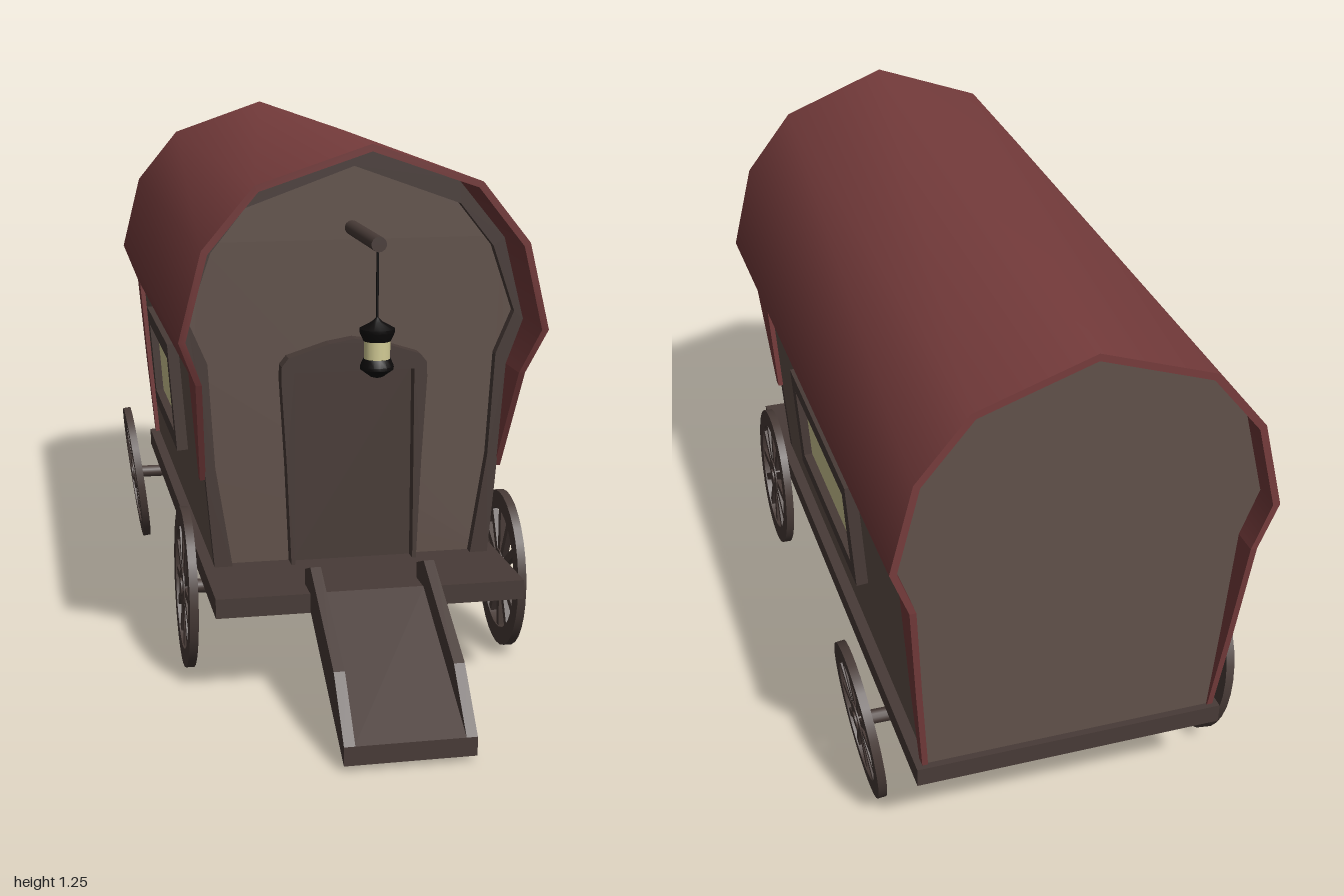
import * as THREE from 'three';
import { toCreasedNormals } from 'three/addons/utils/BufferGeometryUtils.js';

const mat = (color) => new THREE.MeshStandardMaterial({ color });
const RED = mat(0x763c3c), WALL = mat(0x61514a), DARK = mat(0x483b37);
const PANE = mat(0xd2cb95), IRON = mat(0x0c0a0a);

function add(parent, name, geometry, material, x = 0, y = 0, z = 0) {
  const mesh = new THREE.Mesh(geometry, material);
  mesh.name = name;
  mesh.position.set(x, y, z);
  parent.add(mesh);
  return mesh;
}
const box = (x, y, z) => new THREE.BoxGeometry(x, y, z);
const shapeOf = (pts) => new THREE.Shape(pts.map(([x, y]) => new THREE.Vector2(x, y)));
const extrude = (shape, depth, curveSegments = 12) =>
  new THREE.ExtrudeGeometry(shape, { depth, bevelEnabled: false, curveSegments });

// Closed solid through a row of loops with equal point counts
function loft(loops) {
  const tris = [], n = loops[0].length;
  for (let i = 0; i < loops.length - 1; i++) {
    for (let j = 0; j < n; j++) {
      const k = (j + 1) % n, p = loops[i], q = loops[i + 1];
      tris.push([p[j], p[k], q[k]], [p[j], q[k], q[j]]);
    }
  }
  const first = loops[0], last = loops[loops.length - 1];
  for (let j = 1; j < n - 1; j++) {
    tris.push([first[0], first[j + 1], first[j]], [last[0], last[j], last[j + 1]]);
  }
  // turn all faces outwards
  let volume = 0;
  const [a, b, c] = [0, 1, 2].map(() => new THREE.Vector3());
  for (const t of tris) volume += a.set(...t[0]).dot(b.set(...t[1]).cross(c.set(...t[2])));
  if (volume < 0) tris.forEach((t) => t.reverse());
  const geometry = new THREE.BufferGeometry();
  geometry.setAttribute('position', new THREE.Float32BufferAttribute(tris.flat(2), 3));
  return toCreasedNormals(geometry, 0.7);
}

// Half section of the wagon from ridge to floor: x, y, front z, back z
const SECTION = [
  [0, 1.255, 0.595, -1], [0.255, 1.167, 0.572, -1], [0.37, 1.027, 0.56, -1],
  [0.421, 0.826, 0.55, -1], [0.38, 0.72, 0.51, -0.998],
  [0.36, 0.47, 0.395, -0.97], [0.341, 0.26, 0.395, -0.945],
];
const inset = ([x, y], t) => [x * (1 - t), y > 0.82 ? 0.82 + (y - 0.82) * (1 - t) : y];
// Left half mirrored onto the right, running from right floor to left floor
const mirrored = (half) => [...half.slice(1).reverse().map(([x, ...r]) => [-x, ...r]), ...half];

function buildCover(parent) {
  const loop = (p, front, back) => {
    const [x, y] = p, [u, v] = inset(p, 0.038);
    return [[x, y, front], [x, y, back], [u, v, back], [u, v, front]];
  };
  add(parent, 'roofCover', loft(mirrored(SECTION.slice(0, 5)).map((p) => loop(p, p[2], p[3]))), RED);
  for (const s of [1, -1]) {
    const side = SECTION.slice(4).map(([x, ...r]) => [s * x, ...r]);
    add(parent, 'frontCoverFlap', loft(side.slice(0, 2).map((p) => loop(p, p[2], 0.37))), RED);
    add(parent, 'backCoverFlap', loft(side.map((p) => loop(p, -0.92, p[3]))), RED);
  }
}

function buildBody(parent) {
  const outline = mirrored(SECTION.map((p) => inset(p, 0.034)));
  add(parent, 'cabin', extrude(shapeOf(outline), 1.32), WALL, 0, 0, -0.94);
  // dark arch around the front wall
  const inner = mirrored([[0, 1.19], [0.25, 1.1], [0.33, 1.0], [0.383, 0.845],
    [0.34, 0.745], [0.325, 0.5], [0.287, 0.26]]);
  add(parent, 'frontArch', extrude(shapeOf([...outline, ...inner.reverse()]), 0.025), DARK, 0, 0, 0.38);
  add(parent, 'floor', box(0.71, 0.045, 1.575), DARK, 0, 0.236, -0.167);
  // door and its frame
  add(parent, 'door', box(0.284, 0.46, 0.02), DARK, 0, 0.49, 0.378);
  const top = mirrored([[0, 0.795], [0.06, 0.785], [0.155, 0.755], [0.171, 0.735],
    [0.172, 0.7], [0.16, 0.5], [0.15, 0.26]]);
  const frame = shapeOf([...top, [0.141, 0.26], [0.141, 0.72], [-0.141, 0.72], [-0.141, 0.26]]);
  add(parent, 'doorFrame', extrude(frame, 0.045), DARK, 0, 0, 0.375);
}

function buildWindow(parent, s) {
  const g = new THREE.Group();
  g.name = s > 0 ? 'leftWindow' : 'rightWindow';
  g.position.set(s * 0.364, 0.583, -0.25);
  g.rotation.z = -s * 0.076;
  const rect = (w, h) => [[-w, -h], [w, -h], [w, h], [-w, h]];
  const shape = shapeOf(rect(0.275, 0.137));
  shape.holes.push(shapeOf(rect(0.234, 0.094)));
  const frame = add(g, 'windowFrame', extrude(shape, 0.04).translate(0, 0, -0.02), DARK);
  frame.rotation.y = s * Math.PI / 2;
  add(g, 'windowPane', box(0.016, 0.2, 0.48), PANE, -s * 0.008);
  parent.add(g);
}

function buildRamp(parent) {
  const g = new THREE.Group();
  g.name = 'ramp';
  // profiles are drawn as (z, y) and swept along x
  const sweep = (pts, width) =>
    extrude(shapeOf(pts), width).translate(0, 0, -width / 2).rotateY(-Math.PI / 2);
  const stringer = [[1, 0.018], [1, 0.06], [0.89, 0.18], [0.62, 0.32], [0.555, 0.295],
    [0.555, 0.25], [0.62, 0.22]];
  for (const s of [1, -1]) add(g, 'rampSide', sweepUp(sweep(stringer, 0.024)), DARK, s * 0.13);
  const plank = [[1, 0.018], [1, 0.06], [0.62, 0.26], [0.62, 0.22]];
  add(g, 'rampPlank', sweepUp(sweep(plank, 0.24)), DARK);
  parent.add(g);
}
// keeps swept profiles pointing towards +z
function sweepUp(geometry) {
  geometry.computeBoundingBox();
  return geometry.boundingBox.max.z > 0.5 ? geometry : geometry.rotateY(Math.PI);
}

function buildLantern(parent) {
  const g = new THREE.Group();
  g.name = 'hangingLantern';
  const z = 0.65;
  add(g, 'lanternBeam', new THREE.CylinderGeometry(0.017, 0.017, 0.295, 14).rotateX(Math.PI / 2), DARK, 0, 1.047, 0.517);
  add(g, 'lanternCord', new THREE.CylinderGeometry(0.003, 0.003, 0.17, 6), IRON, 0, 0.963, z);
  const lathe = (pts) => toCreasedNormals(
    new THREE.LatheGeometry(pts.map(([x, y]) => new THREE.Vector2(x, y)), 16), 0.5);
  add(g, 'lanternCap', lathe([[0, 0.836], [0.03, 0.836], [0.039, 0.856], [0.039, 0.863],
    [0.012, 0.878], [0, 0.89]]), IRON, 0, 0, z);
  add(g, 'lanternGlass', new THREE.CylinderGeometry(0.029, 0.029, 0.06, 16), PANE, 0, 0.818, z);
  add(g, 'lanternBase', lathe([[0, 0.753], [0.014, 0.757], [0.037, 0.774], [0.037, 0.781],
    [0.03, 0.797], [0, 0.797]]), IRON, 0, 0, z);
  parent.add(g);
}

// Spoked wheel, upright and slightly narrower than tall
function buildWheel(parent, name, s, x, z, tilt) {
  const g = new THREE.Group();
  g.name = name;
  g.position.set(s * x, 0.197, z);
  g.scale.z = 0.89;
  g.rotation.z = -s * tilt;
  const ring = new THREE.Shape().absarc(0, 0, 0.192, 0, Math.PI * 2);
  ring.holes.push(new THREE.Path().absarc(0, 0, 0.148, 0, Math.PI * 2, true));
  const rim = extrude(ring, 0.02, 16).translate(0, 0, -0.01).rotateY(Math.PI / 2);
  add(g, 'wheelRim', toCreasedNormals(rim, 0.6), DARK);
  for (let i = 0; i < 12; i++) {
    const spoke = add(g, 'spoke', box(0.014, 0.125, 0.02).translate(0, 0.095, 0), DARK);
    spoke.rotation.x = i * Math.PI / 6;
  }
  const disc = (r, w) => new THREE.CylinderGeometry(r, r, w, 20).rotateZ(Math.PI / 2);
  add(g, 'hub', disc(0.047, 0.02), DARK);
  add(g, 'hubCap', disc(0.022, 0.028), DARK);
  parent.add(g);
}

export function createModel() {
  const root = new THREE.Group();
  root.name = 'coveredWagon';
  const wagon = new THREE.Group();
  wagon.name = 'wagonBody';
  wagon.position.x = 0.003;
  root.add(wagon);

  buildCover(wagon);
  buildBody(wagon);
  buildRamp(wagon);
  buildLantern(wagon);
  for (const s of [1, -1]) {
    buildWindow(wagon, s);
    buildWheel(root, 'frontWheel', s, 0.388, 0.345, 0);
    buildWheel(root, 'rearWheel', s, 0.418, -0.693, 0.12);
  }
  for (const [z, length] of [[0.345, 0.77], [-0.693, 0.82]]) {
    add(root, 'axle', new THREE.CylinderGeometry(0.017, 0.017, length, 12).rotateZ(Math.PI / 2), DARK, 0, 0.197, z);
  }
  return root;
}
